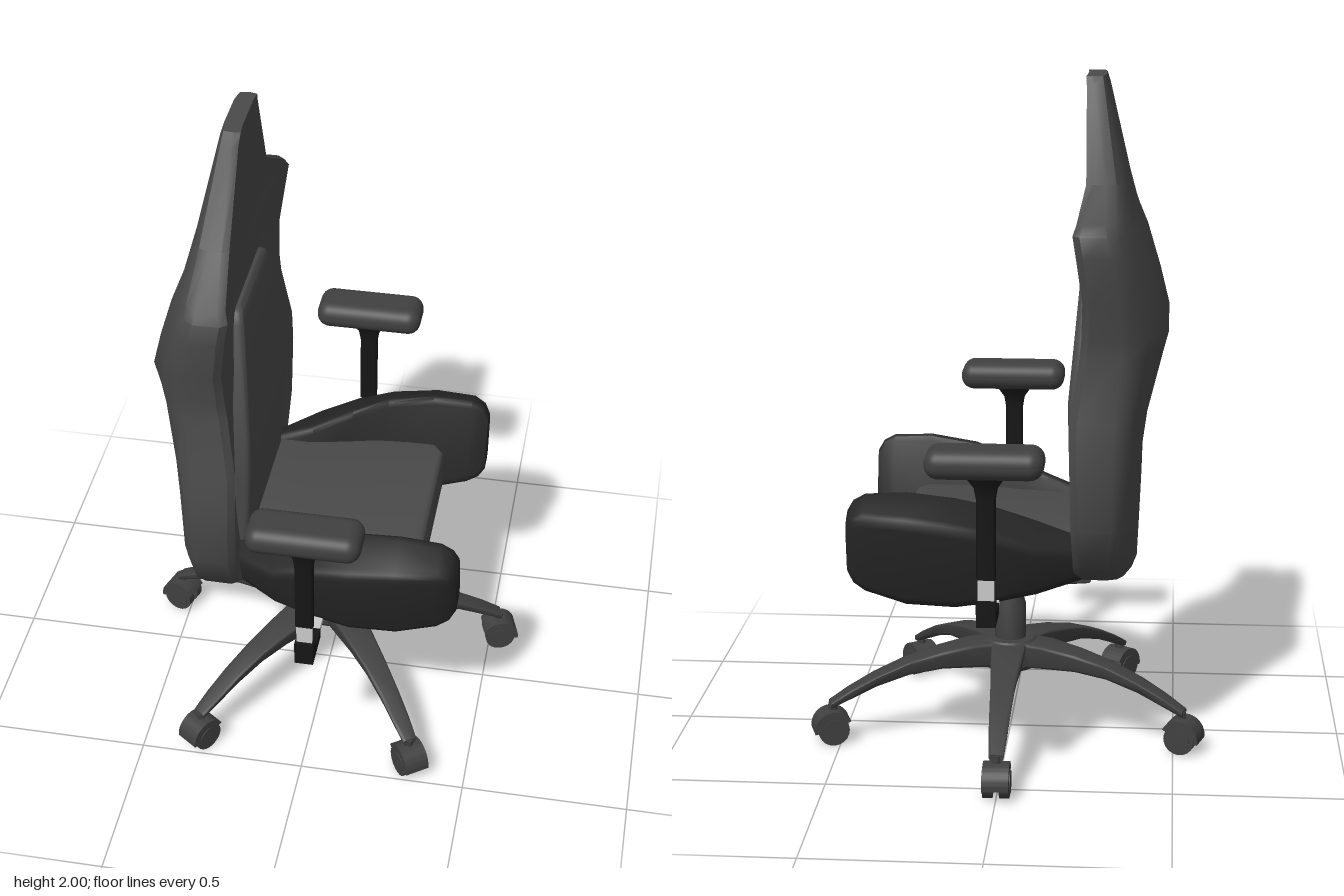
import * as THREE from 'three';
import { toCreasedNormals } from 'three/addons/utils/BufferGeometryUtils.js';
import { RoundedBoxGeometry } from 'three/addons/geometries/RoundedBoxGeometry.js';

const mat = (color) => new THREE.MeshStandardMaterial({ color });
const fabric = mat(0x4a4a4a), bolsterFabric = mat(0x262626), plastic = mat(0x404040);
const black = mat(0x161616), metal = mat(0xcccccc);

function add(parent, name, geometry, material, x = 0, y = 0, z = 0) {
  const mesh = new THREE.Mesh(geometry, material);
  mesh.name = name;
  mesh.position.set(x, y, z);
  parent.add(mesh);
  return mesh;
}

// Skin a closed solid over equal-length rings of [x, y, z]
function loft(rings, crease = 0.7) {
  const n = rings[0].length, last = rings.length - 1, p = rings.flat();
  const centre = (r) => [0, 1, 2].map((k) => r.reduce((s, v) => s + v[k], 0) / n);
  p.push(centre(rings[0]), centre(rings[last]));
  let faces = [];
  for (let j = 0; j < n; j++) {
    const k = (j + 1) % n;
    for (let i = 0; i < last; i++) {
      const a = i * n + j, b = i * n + k;
      faces.push([a, b, b + n], [a, b + n, a + n]);
    }
    faces.push([p.length - 2, k, j], [p.length - 1, last * n + j, last * n + k]);
  }
  // Turn the faces outward if the rings ran the other way
  const v = p.map((q) => new THREE.Vector3(...q));
  const volume = faces.reduce((s, [a, b, c]) => s + v[a].dot(v[b].clone().cross(v[c])), 0);
  if (volume < 0) faces = faces.map(([a, b, c]) => [a, c, b]);
  const g = new THREE.BufferGeometry();
  g.setAttribute('position', new THREE.Float32BufferAttribute(p.flat(), 3));
  g.setIndex(faces.flat());
  return toCreasedNormals(g, crease);
}

// Round the corners of a 2D polygon; 'shrink' pulls it to its centre
function rounded(corners, radius, shrink = 1) {
  const pts = corners.map((c) => new THREE.Vector2(...c));
  const mid = pts.reduce((s, q) => s.add(q), new THREE.Vector2()).divideScalar(pts.length);
  pts.forEach((q) => q.sub(mid).multiplyScalar(shrink).add(mid));
  return pts.flatMap((q, i) => {
    const toward = (o) => q.clone().add(o.clone().sub(q).setLength(radius));
    const a = toward(pts.at(i - 1)), b = toward(pts[(i + 1) % pts.length]);
    return new THREE.QuadraticBezierCurve(a, q, b).getPoints(3).map((t) => [t.x, t.y]);
  });
}

function backrest() {
  // y, half width, back x, edge back x, wing front x, middle front x
  const stations = [
    [0.57, 0.31, -0.37, -0.33, -0.21, -0.215], [0.62, 0.38, -0.385, -0.335, -0.205, -0.22],
    [0.75, 0.445, -0.39, -0.34, -0.2, -0.23], [0.95, 0.452, -0.395, -0.345, -0.195, -0.235],
    [1.06, 0.437, -0.41, -0.35, -0.195, -0.235], [1.24, 0.4, -0.455, -0.365, -0.22, -0.235],
    [1.29, 0.404, -0.468, -0.365, -0.225, -0.235], [1.4, 0.424, -0.44, -0.36, -0.228, -0.24],
    [1.53, 0.448, -0.4, -0.34, -0.21, -0.24], [1.59, 0.443, -0.375, -0.325, -0.2, -0.24],
    [1.62, 0.42, -0.365, -0.32, -0.21, -0.24], [1.71, 0.262, -0.345, -0.315, -0.23, -0.24],
    [1.97, 0.132, -0.287, -0.275, -0.225, -0.23], [2.0, 0.112, -0.278, -0.27, -0.222, -0.225],
  ];
  return loft(stations.map(([y, w, xb, xe, xw, xf]) => {
    const half = [[xb, 0.55], [xb + (xe - xb) * 0.55, 0.85], [xe, 0.96],
      [xe + 0.03, 1], [xw - 0.02, 1], [xw, 0.96], [xf, 0.62]];
    return [...half.map(([x, z]) => [x, y, z * w]), ...half.reverse().map(([x, z]) => [x, y, -z * w])];
  }), 0.65);
}

function lumbarPanel() {
  // y, half width, front x
  const stations = [[0.6, 0.25, -0.205], [0.68, 0.255, -0.2], [0.9, 0.272, -0.187],
    [1.08, 0.28, -0.183], [1.42, 0.19, -0.212], [1.45, 0.175, -0.218], [1.462, 0.155, -0.23]];
  return loft(stations.map(([y, w, x]) =>
    rounded([[-0.3, -w], [x, -w], [x, w], [-0.3, w]], 0.018).map(([a, z]) => [a, y, z])));
}

function seatCushion() {
  const side = [[-0.24, 0.22], [-0.18, 0.235], [0.05, 0.29], [0.2, 0.31], [0.27, 0.3], [0.3, 0.26]];
  const outline = [...side, ...side.map(([x, z]) => [x, -z]).reverse()];
  const shape = new THREE.Shape(outline.map(([x, z]) => new THREE.Vector2(x, z)));
  const g = new THREE.ExtrudeGeometry(shape, {
    depth: 0.11, bevelSize: 0.015, bevelThickness: 0.02, bevelSegments: 3,
  });
  return toCreasedNormals(g.rotateX(-Math.PI / 2), 0.7);
}

function bolster(s) {
  // x, shrink, then z and y of: top inner, top outer, bottom outer, bottom inner
  const stations = [
    [-0.23, 0.9, [[0.24, 0.7], [0.33, 0.66], [0.31, 0.56], [0.2, 0.57]]],
    [-0.1, 1, [[0.25, 0.74], [0.41, 0.69], [0.37, 0.54], [0.21, 0.545]]],
    [0.02, 1, [[0.285, 0.79], [0.44, 0.735], [0.395, 0.52], [0.235, 0.525]]],
    [0.13, 1, [[0.32, 0.825], [0.46, 0.76], [0.41, 0.508], [0.25, 0.52]]],
    [0.27, 1, [[0.335, 0.845], [0.465, 0.78], [0.412, 0.515], [0.255, 0.53]]],
    [0.39, 1, [[0.34, 0.84], [0.45, 0.785], [0.405, 0.55], [0.265, 0.565]]],
    [0.425, 0.94, [[0.34, 0.83], [0.435, 0.78], [0.4, 0.565], [0.27, 0.575]]],
    [0.443, 0.78, [[0.335, 0.82], [0.42, 0.77], [0.39, 0.575], [0.27, 0.58]]],
  ];
  return loft(stations.map(([x, shrink, quad]) =>
    rounded(quad, 0.028, shrink).map(([z, y]) => [x, y, s * z])));
}

function armrest(s) {
  const arm = new THREE.Group();
  arm.name = s > 0 ? 'frontArmrest' : 'rearArmrest';
  const z = s * 0.56, box = (w, h, d) => new THREE.BoxGeometry(w, h, d);
  add(arm, 'armPad', new RoundedBoxGeometry(0.33, 0.085, 0.145, 5, 0.04), plastic, 0.03, 0.987, z);
  // Post flares into the pad
  const post = [[0.65, 0.027, 0.014], [0.88, 0.027, 0.015], [0.915, 0.033, 0.018], [0.95, 0.055, 0.035]];
  add(arm, 'armPost', loft(post.map(([y, a, b]) =>
    rounded([[-a, -b], [a, -b], [a, b], [-a, b]], 0.008).map(([x, w]) => [x, y, w]))), black, 0.027, 0, z);
  add(arm, 'armSlider', box(0.046, 0.08, 0.02), metal, 0.027, 0.62, z);
  add(arm, 'armSocket', box(0.055, 0.075, 0.045), black, 0.027, 0.552, s * 0.558);
  add(arm, 'armElbow', box(0.055, 0.035, 0.08), black, 0.027, 0.532, s * 0.502);
  add(arm, 'armCrossBar', box(0.046, 0.018, 0.24), metal, 0.027, 0.526, s * 0.36);
  return arm;
}

function legWithCaster(i) {
  const leg = new THREE.Group();
  leg.name = 'leg' + (i + 1);
  leg.rotation.y = Math.PI / 2 + i * Math.PI * 2 / 5;
  // radius, bottom y, top y, half width
  const stations = [[0.03, 0.205, 0.288, 0.055], [0.12, 0.21, 0.285, 0.052], [0.22, 0.212, 0.268, 0.045],
    [0.32, 0.2, 0.243, 0.038], [0.42, 0.17, 0.205, 0.033], [0.5, 0.135, 0.165, 0.029], [0.56, 0.108, 0.13, 0.024]];
  add(leg, 'legArm', loft(stations.map(([r, y0, y1, w]) =>
    rounded([[y0, -w * 0.75], [y0, w * 0.75], [y1, w], [y1, -w]], 0.01).map(([y, z]) => [r, y, z]))), plastic);
  add(leg, 'casterStem', new THREE.CylinderGeometry(0.013, 0.013, 0.07, 12), plastic, 0.553, 0.09, 0);
  // Hood is a half ring over the two wheels
  const ring = new THREE.Shape();
  ring.absarc(0, 0, 0.058, -0.15, Math.PI * 0.85, false);
  ring.absarc(0, 0, 0.047, Math.PI * 0.85, -0.15, true);
  const hood = new THREE.ExtrudeGeometry(ring, { depth: 0.076, bevelEnabled: false, curveSegments: 12 });
  add(leg, 'casterHood', toCreasedNormals(hood, 0.6), plastic, 0.555, 0.047, -0.038);
  for (const s of [-1, 1]) {
    const wheel = new THREE.CylinderGeometry(0.047, 0.047, 0.028, 20).rotateX(Math.PI / 2);
    add(leg, 'casterWheel', wheel, plastic, 0.555, 0.047, s * 0.024);
    const cap = new THREE.CylinderGeometry(0.034, 0.034, 0.006, 20).rotateX(Math.PI / 2);
    add(leg, 'wheelCap', cap, plastic, 0.555, 0.047, s * 0.038);
  }
  add(leg, 'casterAxle', new THREE.CylinderGeometry(0.012, 0.012, 0.04, 10).rotateX(Math.PI / 2), plastic, 0.555, 0.047, 0);
  return leg;
}

export function createModel() {
  const chair = new THREE.Group();
  chair.name = 'gamingChair';

  // Upholstery
  add(chair, 'backrest', backrest(), fabric, 0, 0, 0.012);
  add(chair, 'lumbarPanel', lumbarPanel(), fabric, 0, 0, 0.01);
  add(chair, 'seatCushion', seatCushion(), fabric, 0, 0.555, 0);
  for (const s of [1, -1]) {
    add(chair, s > 0 ? 'frontBolster' : 'rearBolster', bolster(s), bolsterFabric);
    chair.add(armrest(s));
  }

  // Gas column and hub
  const profile = [[0, 0.2], [0.075, 0.2], [0.085, 0.215], [0.085, 0.28], [0.075, 0.292], [0.047, 0.292],
    [0.047, 0.4], [0.034, 0.435], [0.033, 0.55], [0, 0.55]].map((q) => new THREE.Vector2(...q));
  add(chair, 'column', toCreasedNormals(new THREE.LatheGeometry(profile, 24), 0.5), plastic);

  // Five-star base
  for (let i = 0; i < 5; i++) chair.add(legWithCaster(i));
  return chair;
}
